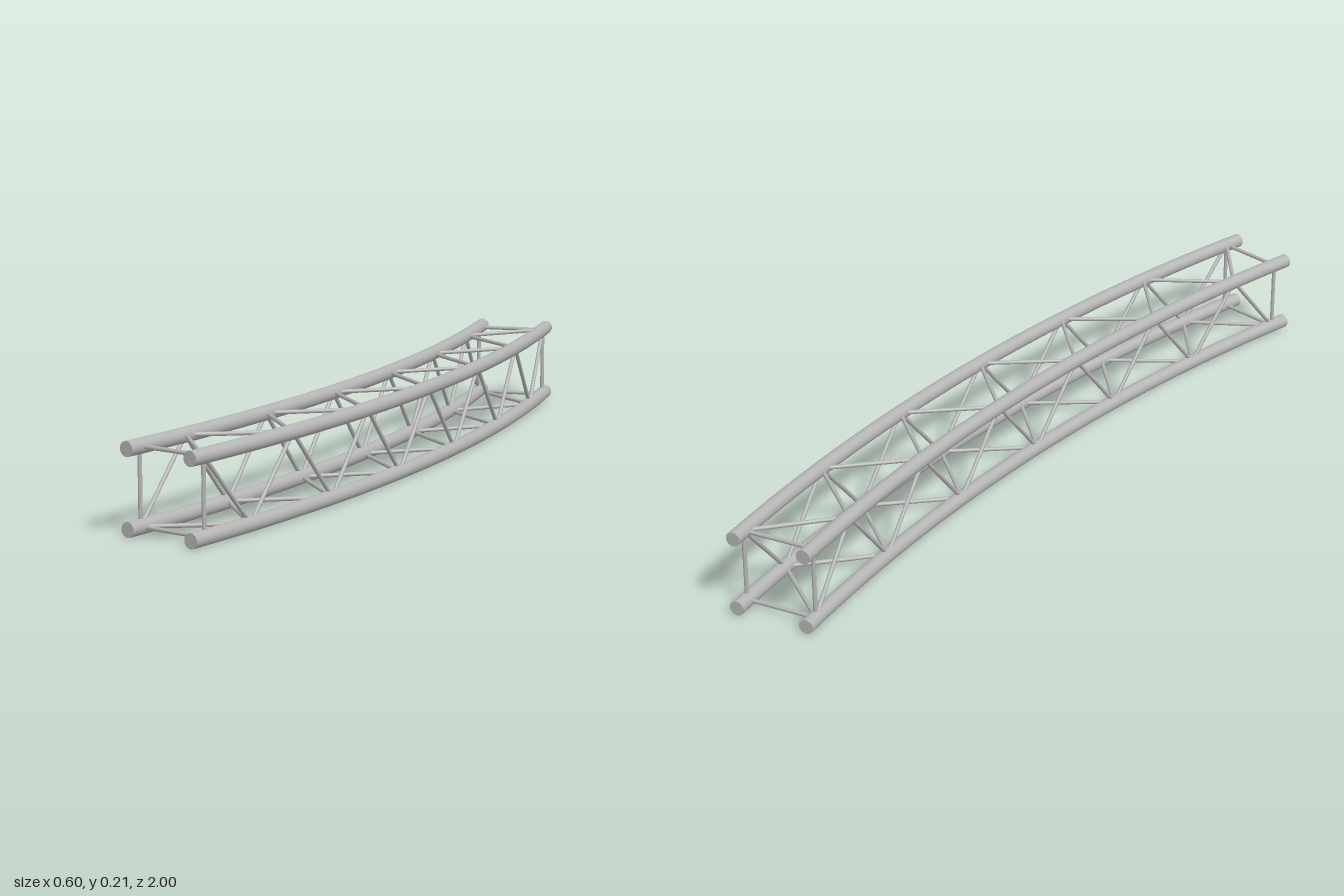
import * as THREE from 'three';

const ARC = Math.PI / 8;              // sweep of the bend
const R_OUT = 5.2085, R_IN = 5.0295;  // bend radii of the chords
const CX = -4.9283, CZ = 1;           // centre of the bend
const Y_LOW = 0.0178, Y_HIGH = 0.197;
const TUBE = 0.0178, ROD = 0.005;
const BAYS = 12, INSET = 0.0087;      // lattice bays and end inset (radians)

export function createModel() {
  const group = new THREE.Group();
  const metal = new THREE.MeshStandardMaterial({ color: 0xb4b4b4 });
  metal.name = 'grey metal';

  const add = (name, geometry) => {
    const mesh = new THREE.Mesh(geometry, metal);
    mesh.name = name;
    group.add(mesh);
    return mesh;
  };
  const point = (r, y, a) =>
    new THREE.Vector3(CX + r * Math.cos(a), y, CZ - r * Math.sin(a));

  // straight rod between two points
  const rod = (name, a, b) => {
    const dir = b.clone().sub(a);
    const mesh = add(name, new THREE.CylinderGeometry(ROD, ROD, dir.length(), 12, 1, true));
    mesh.position.copy(a).add(b).multiplyScalar(0.5);
    mesh.quaternion.setFromUnitVectors(new THREE.Vector3(0, 1, 0), dir.normalize());
  };

  // four curved main tubes with closed ends
  for (const [side, r] of [['outer', R_OUT], ['inner', R_IN]]) {
    for (const [level, y] of [['Lower', Y_LOW], ['Upper', Y_HIGH]]) {
      const chord = add(side + level + 'Chord',
        new THREE.TorusGeometry(r, TUBE, 24, 32, ARC).rotateX(-Math.PI / 2));
      chord.position.set(CX, y, CZ);
      for (const [end, a, turn] of [['Front', 0, 0], ['Back', ARC, Math.PI + ARC]]) {
        const cap = add(side + level + end + 'Cap', new THREE.CircleGeometry(TUBE, 24));
        cap.position.copy(point(r, y, a));
        cap.rotation.y = turn;
      }
    }
  }

  // square frame near each end
  for (const [end, a] of [['front', INSET], ['back', ARC - INSET]]) {
    for (const r of [R_OUT, R_IN]) rod(end + 'Post', point(r, Y_LOW, a), point(r, Y_HIGH, a));
    for (const y of [Y_LOW, Y_HIGH]) rod(end + 'Crossbar', point(R_IN, y, a), point(R_OUT, y, a));
  }

  // zigzag lattice on all four faces, meeting at shared nodes
  const angle = k => INSET + (ARC - 2 * INSET) * k / BAYS;
  for (let k = 0; k < BAYS; k++) {
    const zig = (name, even, odd) => {
      const [p, q] = k % 2 ? [odd, even] : [even, odd];
      rod(name, point(...p, angle(k)), point(...q, angle(k + 1)));
    };
    zig('outerDiagonal', [R_OUT, Y_HIGH], [R_OUT, Y_LOW]);
    zig('innerDiagonal', [R_IN, Y_LOW], [R_IN, Y_HIGH]);
    zig('upperDiagonal', [R_OUT, Y_HIGH], [R_IN, Y_HIGH]);
    zig('lowerDiagonal', [R_IN, Y_LOW], [R_OUT, Y_LOW]);
  }
  return group;
}
